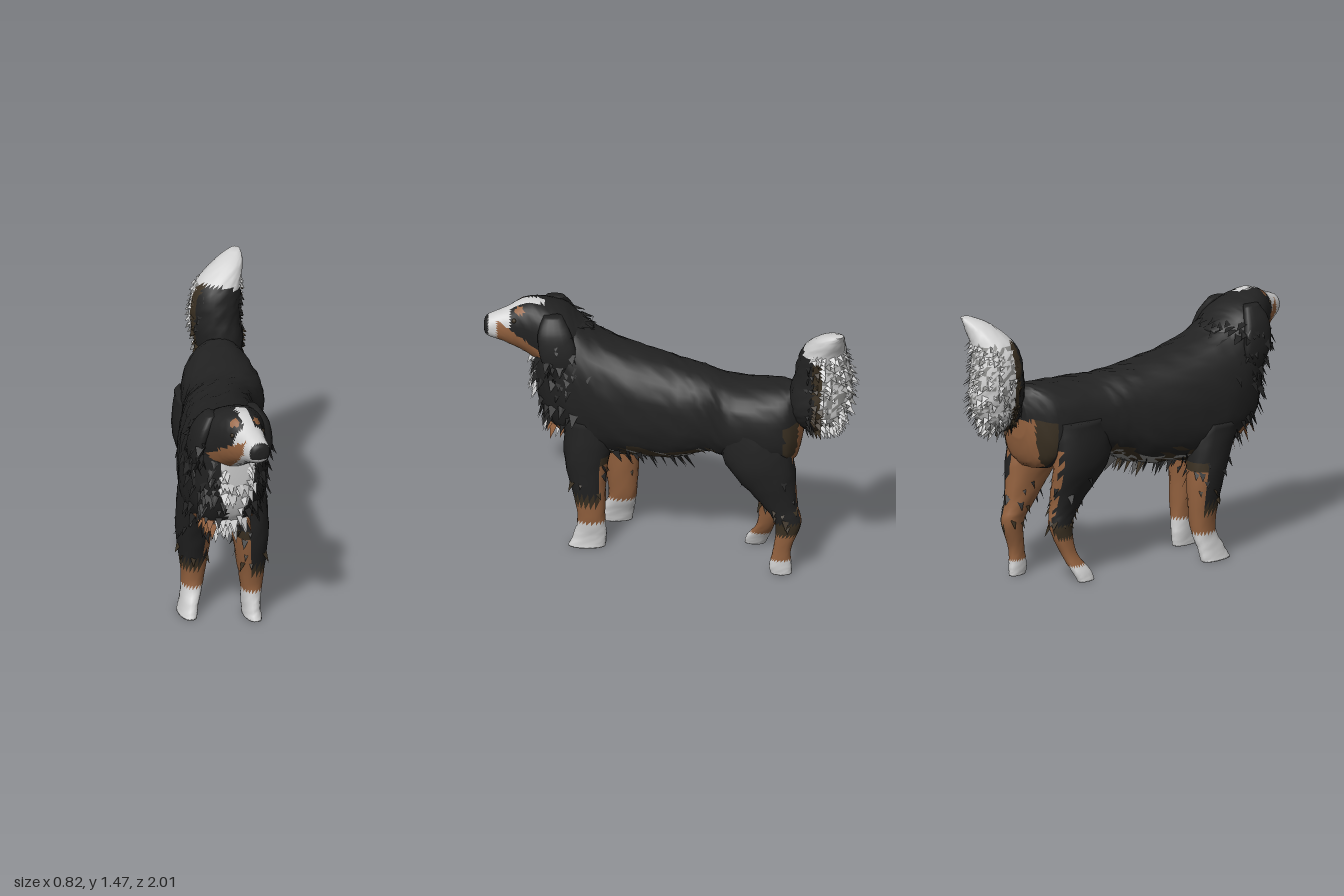
import * as THREE from 'three';

const PALETTE = [['blackFur', 0x222222], ['tanFur', 0x94623f], ['whiteFur', 0xd2d2d2],
  ['darkBrownFur', 0x3a3022], ['greyFur', 0x8a8a88]];
const BLACK = 0, TAN = 1, WHITE = 2, BROWN = 3, GREY = 4;

let seed = 7;
const rand = () => (seed = (seed * 16807) % 2147483647) / 2147483647;

// smooth interpolation through section rows
function sampleRows(rows, t) {
  const i = Math.min(Math.floor(t), rows.length - 2), f = t - i;
  const [p, q, r, s] = [rows[Math.max(i - 1, 0)], rows[i], rows[i + 1], rows[Math.min(i + 2, rows.length - 1)]];
  return q.map((_, k) => q[k] + 0.5 * f * (r[k] - p[k] + f * (2 * p[k] - 5 * q[k] + 4 * r[k] - s[k]
    + f * (3 * (q[k] - r[k]) + s[k] - p[k]))));
}

// geometry whose triangles are grouped by the colour rule
function paint(points, tris, colourAt) {
  const lists = PALETTE.map(() => []);
  const a = new THREE.Vector3(), b = new THREE.Vector3(), c = new THREE.Vector3();
  for (const t of tris) {
    a.copy(points[t[0]]); b.copy(points[t[1]]); c.copy(points[t[2]]);
    const n = b.clone().sub(a).cross(c.clone().sub(a)).normalize();
    lists[colourAt(a.add(b).add(c).divideScalar(3), n)].push(...t);
  }
  const geo = new THREE.BufferGeometry().setFromPoints(points);
  geo.setIndex(lists.flat());
  let start = 0;
  lists.forEach((l, k) => { if (l.length) geo.addGroup(start, l.length, k); start += l.length; });
  geo.computeVertexNormals();
  return geo;
}

// rows along z: [z, cx, halfWidth, top, bottom]; rows down y: [y, halfX, halfZ, cx, cz]
function loft(rows, axis, colourAt, { sub = 6, n = 28, power = 0.9, rough = 0.04 } = {}) {
  const points = [], tris = [], count = (rows.length - 1) * sub + 1;
  const pw = v => Math.sign(v) * Math.abs(v) ** power;
  for (let i = 0; i < count; i++) {
    const s = sampleRows(rows, i / sub);
    for (let j = 0; j < n; j++) {
      const th = j / n * Math.PI * 2, k = 1 + (rand() - 0.5) * rough;
      const u = pw(Math.cos(th)) * k, v = pw(Math.sin(th)) * k;
      points.push(axis === 'z'
        ? new THREE.Vector3(s[1] + s[2] * u, (s[3] + s[4]) / 2 + (s[3] - s[4]) / 2 * v, s[0])
        : new THREE.Vector3(s[3] + s[1] * u, s[0], s[4] + s[2] * v));
    }
  }
  for (let i = 0; i < count - 1; i++) for (let j = 0; j < n; j++) {
    const a = i * n + j, b = i * n + (j + 1) % n;
    tris.push([a, b, b + n], [a, b + n, a + n]);
  }
  // end caps
  for (const i of [0, count - 1]) {
    const mid = new THREE.Vector3();
    for (let j = 0; j < n; j++) mid.addScaledVector(points[i * n + j], 1 / n);
    const m = points.push(mid) - 1;
    for (let j = 0; j < n; j++) {
      const a = i * n + j, b = i * n + (j + 1) % n;
      tris.push(i ? [m, a, b] : [m, b, a]);
    }
  }
  return paint(points, tris, colourAt);
}

// loose pointed locks of hair growing from a surface
function locks(geo, count, length, flow, where, colourAt) {
  const pos = geo.attributes.position, nor = geo.attributes.normal, points = [], tris = [];
  for (let tries = 0; tris.length < count && tries < count * 40; tries++) {
    const i = Math.floor(rand() * pos.count);
    const p = new THREE.Vector3().fromBufferAttribute(pos, i);
    if (!where(p)) continue;
    const n = new THREE.Vector3().fromBufferAttribute(nor, i);
    const len = length * (0.6 + 0.7 * rand());
    const side = new THREE.Vector3().crossVectors(flow, n).normalize()
      .addScaledVector(n, rand() - 0.5).multiplyScalar(len * 0.4);
    const tip = p.clone().addScaledVector(n, len * 0.45).addScaledVector(flow, len);
    p.addScaledVector(n, -0.004);
    const k = points.push(p.clone().sub(side), p.clone().add(side), tip) - 3;
    tris.push([k, k + 1, k + 2]);
  }
  return paint(points, tris, colourAt);
}

// coat colour rules
const bodyColour = (p, n) => {
  const dx = Math.abs(p.x + 0.18);
  if (p.z > 0.5 && n.z > 0.1) {
    if (p.y < 0.69) return dx < 0.09 ? WHITE : dx < 0.2 ? TAN : BLACK;
    if (dx < (p.y > 0.88 ? 0.095 : 0.04 + Math.max(0, p.y - 0.75) * 0.4)) return WHITE;
  }
  if (p.z < -0.6 && n.z < -0.25 && p.y < 0.9) return Math.abs(p.x - 0.17) < 0.11 ? TAN : BROWN;
  if (n.y < -0.55 && p.z > -0.25 && p.z < 0.35) return n.y < -0.75 ? GREY : BROWN;
  return BLACK;
};
const headColour = (p, n) => {
  const dx = Math.abs(p.x + 0.16), cheek = 1.15 + (p.z - 0.73) * 0.67;
  if (p.z > 0.975 && p.y > 1.2) return BLACK;
  if (p.z > 0.93 || (p.z > 0.86 && p.y > cheek)) return WHITE;
  if (p.z > 0.68 && n.y > 0.2 && dx < 0.028) return WHITE;
  if (p.z > 0.7 && n.y < -0.3 && dx < 0.06) return WHITE;
  if (Math.hypot(dx - 0.06, p.y - 1.335, p.z - 0.81) < 0.025) return TAN;
  if (p.z > 0.69 && p.y < cheek) return TAN;
  return BLACK;
};
const tailColour = p => {
  if (p.y > 1.34 - Math.max(0, p.x - 0.24) * 0.4) return WHITE;
  if (p.z < -0.81) return rand() < 0.6 ? WHITE : GREY;
  return p.z < -0.765 ? BROWN : BLACK;
};
const plainBlack = () => BLACK;
// inner: +1 or -1, the side that faces the other leg
const frontLegColour = inner => (p, n) => {
  if (p.y < 0.155) return WHITE;
  if (p.y < 0.26) return TAN;
  const tan = n.x * inner > 0.35 || n.z < -0.45;
  if (tan && p.y < 0.54) return p.y < 0.49 ? TAN : BROWN;
  return p.y < 0.32 ? BROWN : BLACK;
};
const hindLegColour = inner => (p, n) => {
  if (p.y < 0.085) return WHITE;
  if (p.y < 0.24) return TAN;
  const tan = n.x * inner > 0.25 || (n.z < -0.7 && n.x * inner > -0.2);
  if (tan && p.y < 0.74) return TAN;
  return p.y < 0.31 ? BROWN : BLACK;
};

// leg profiles: [height, halfX, halfZ] from shoulder or hip to paw
const FRONT = [[0.75, 0.1, 0.15], [0.5, 0.095, 0.115], [0.2, 0.06, 0.075], [0.07, 0.045, 0.088], [0, 0.045, 0.1]];
const HIND = [[0.88, 0.1, 0.17], [0.65, 0.105, 0.185], [0.42, 0.07, 0.1], [0.3, 0.052, 0.07],
  [0.15, 0.036, 0.048], [0.05, 0.034, 0.06], [0, 0.03, 0.055]];

export function createModel() {
  const model = new THREE.Group();
  model.name = 'dog';
  const mats = PALETTE.map(([name, color]) => {
    const m = new THREE.MeshStandardMaterial({ color, side: THREE.DoubleSide });
    m.name = name;
    return m;
  });
  const add = (name, geo, material = mats) => {
    const mesh = new THREE.Mesh(geo, material);
    mesh.name = name;
    model.add(mesh);
    return geo;
  };
  const down = new THREE.Vector3(0, -1, 0), backDown = new THREE.Vector3(0, -0.7, -0.7);

  // torso, running diagonally from rump to chest
  const body = add('body', loft([
    [-0.71, 0.17, 0.06, 1.0, 0.8], [-0.67, 0.17, 0.13, 1.07, 0.66], [-0.58, 0.15, 0.2, 1.075, 0.61],
    [-0.32, 0.1, 0.23, 1.06, 0.64], [-0.18, 0.02, 0.205, 1.075, 0.62], [0, -0.04, 0.225, 1.1, 0.55],
    [0.35, -0.135, 0.245, 1.18, 0.53], [0.58, -0.175, 0.215, 1.3, 0.61], [0.69, -0.18, 0.15, 1.3, 0.74],
    [0.74, -0.18, 0.07, 1.2, 0.93]], 'z', bodyColour, { n: 44, power: 0.85 }));
  add('chestLocks', locks(body, 170, 0.055, down, p => p.z > 0.42 && p.y < 1.1, bodyColour));
  add('bellyLocks', locks(body, 60, 0.05, backDown, p => Math.abs(p.z) < 0.3 && p.y < 0.6, bodyColour));

  // head with muzzle
  const head = add('head', loft([
    [0.42, -0.18, 0.08, 1.21, 1.04], [0.5, -0.18, 0.175, 1.27, 0.97], [0.6, -0.18, 0.205, 1.34, 0.96],
    [0.76, -0.175, 0.13, 1.375, 1.06], [0.88, -0.155, 0.082, 1.325, 1.13],
    [0.98, -0.14, 0.055, 1.285, 1.175], [1.0, -0.14, 0.02, 1.25, 1.21]],
  'z', headColour, { n: 40, sub: 8, rough: 0.024 }));
  add('ruffLocks', locks(head, 110, 0.06, backDown, p => p.z < 0.64 && p.y < 1.28, plainBlack));

  // ears and eyes, mirrored about the head
  for (const [side, s] of [['left', 1], ['right', -1]]) {
    const x = d => -0.18 + s * d;
    const ear = add(side + 'Ear', loft([
      [1.33, 0.03, 0.05, x(0.12), 0.63], [1.24, 0.035, 0.09, x(0.17), 0.62],
      [1.1, 0.028, 0.095, x(0.197), 0.595], [0.98, 0.008, 0.03, x(0.195), 0.58]], 'y', plainBlack, { n: 16 }));
    add(side + 'EarLocks', locks(ear, 40, 0.05, down, p => p.y < 1.22, plainBlack));
    const eye = new THREE.SphereGeometry(0.013, 10, 8);
    eye.translate(-0.162 + s * 0.083, 1.285, 0.838);
    add(side + 'Eye', eye, mats[BROWN]);
  }

  // legs, each in its own stride: centres are [x, z] at every profile height
  const leg = (name, profile, centres, colour) => {
    const geo = add(name, loft(profile.map((row, i) => [...row, ...centres[i]]), 'y', colour, { n: 20, rough: 0.056 }));
    add(name + 'Locks', locks(geo, 22, 0.04, down, p => p.y > 0.3 && p.y < 0.6, p => p.y < 0.4 ? BROWN : BLACK));
  };
  leg('frontLeftLeg', FRONT, [[-0.03, 0.42], [-0.015, 0.45], [0, 0.425], [-0.005, 0.43], [-0.005, 0.45]],
    frontLegColour(-1));
  leg('frontRightLeg', FRONT, [[-0.28, 0.38], [-0.277, 0.3], [-0.275, 0.27], [-0.305, 0.3], [-0.325, 0.32]],
    frontLegColour(1));
  leg('hindLeftLeg', HIND, [[0.24, -0.45], [0.255, -0.48], [0.26, -0.58], [0.272, -0.63], [0.272, -0.6],
    [0.27, -0.59], [0.27, -0.595]], hindLegColour(-1));
  leg('hindRightLeg', HIND, [[-0.02, -0.42], [-0.03, -0.42], [0.02, -0.49], [0.02, -0.53], [-0.01, -0.5],
    [-0.06, -0.455], [-0.08, -0.44]], hindLegColour(1));

  // raised bushy tail
  const tail = add('tail', loft([
    [1.465, 0.025, 0.03, 0.365, -0.9], [1.42, 0.075, 0.075, 0.315, -0.86], [1.31, 0.125, 0.12, 0.24, -0.82],
    [1.16, 0.135, 0.155, 0.22, -0.815], [1.0, 0.13, 0.165, 0.235, -0.8], [0.91, 0.1, 0.13, 0.23, -0.79],
    [0.85, 0.05, 0.08, 0.23, -0.79]], 'y', tailColour, { n: 32, power: 1, rough: 0.064 }));
  add('tailLocks', locks(tail, 420, 0.04, new THREE.Vector3(0.1, -0.6, -0.35),
    p => p.y < 1.34 && p.z < -0.72, tailColour));

  return model;
}
